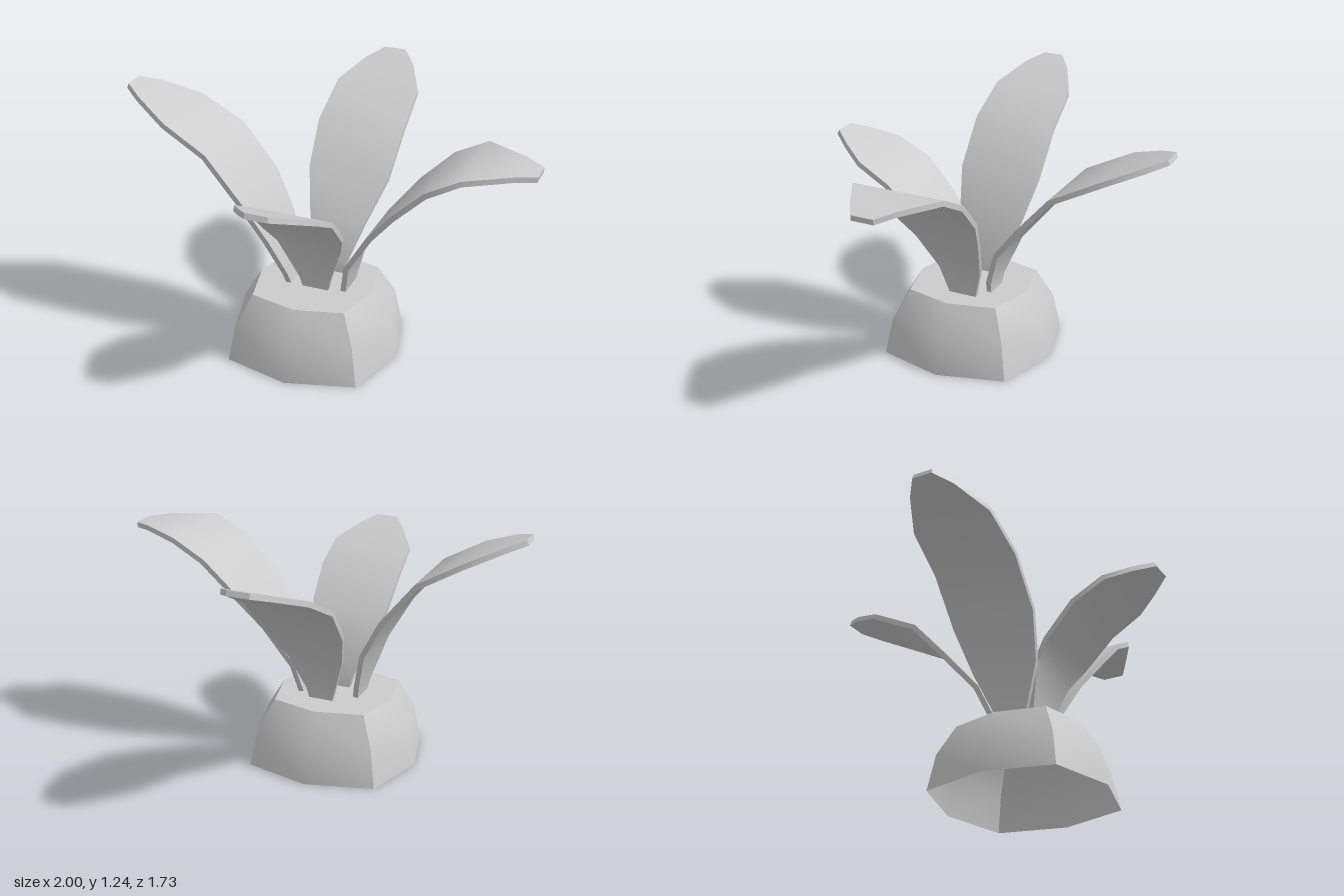
import * as THREE from 'three';
import { toCreasedNormals } from 'three/addons/utils/BufferGeometryUtils.js';

const material = new THREE.MeshStandardMaterial({ color: 0xcccccc, side: THREE.DoubleSide });

// Joins equal rings of points into a surface, with optional end caps.
function loft(rings, capStart, capEnd) {
  const n = rings[0].length, index = [];
  for (let i = 0; i < rings.length - 1; i++) {
    for (let j = 0; j < n; j++) {
      const k = (j + 1) % n;
      const a = i * n + j, b = i * n + k, c = a + n, d = b + n;
      index.push(a, c, d, a, d, b);
    }
  }
  const last = (rings.length - 1) * n;
  for (let j = 1; j < n - 1; j++) {
    if (capStart) index.push(0, j, j + 1);
    if (capEnd) index.push(last, last + j + 1, last + j);
  }
  const geometry = new THREE.BufferGeometry();
  geometry.setAttribute('position', new THREE.Float32BufferAttribute(rings.flat(2), 3));
  geometry.setIndex(index);
  return toCreasedNormals(geometry, THREE.MathUtils.degToRad(38));
}

// Thin blade along a bending path; each station is [outward, height, half width].
function leafGeometry(stations, thickness = 0.026) {
  const rings = stations.map(([x, y, w], i) => {
    const p = stations[Math.max(i - 1, 0)];
    const q = stations[Math.min(i + 1, stations.length - 1)];
    const normal = new THREE.Vector2(p[1] - q[1], q[0] - p[0]).setLength(thickness / 2);
    const { x: nx, y: ny } = normal;
    return [
      [x + nx, y + ny, w], [x + nx, y + ny, -w],
      [x - nx, y - ny, -w], [x - nx, y - ny, w],
    ];
  });
  return loft(rings, true, true);
}

export function createModel() {
  const model = new THREE.Group();
  model.name = 'leafyPlant';

  // Hollow base: bulging square rings, [height, radius at side, offset of corner]
  const levels = [[0, 0.415, 0.327], [0.18, 0.382, 0.298], [0.33, 0.29, 0.233]];
  const rings = levels.map(([y, r, c]) => [
    [r, y, 0], [c, y, -c], [0, y, -r], [-c, y, -c],
    [-r, y, 0], [-c, y, c], [0, y, r], [c, y, c],
  ].reverse());
  const base = new THREE.Mesh(loft(rings, false, true), material);
  base.name = 'base';
  base.position.set(-0.06, 0, 0.152);
  model.add(base);

  // Four leaves, each turned outward from the middle
  const leaves = [
    { name: 'leftLeaf', turn: 0, x: 0, z: 0.13, stations: [
      [0.095, 0.33, 0.07], [0.125, 0.475, 0.11], [0.25, 0.68, 0.165], [0.385, 0.845, 0.22],
      [0.54, 0.995, 0.235], [0.70, 1.08, 0.228], [0.90, 1.085, 0.115], [0.995, 1.075, 0.055]] },
    { name: 'backLeaf', turn: Math.PI / 2, x: -0.03, z: 0, stations: [
      [-0.025, 0.33, 0.06], [-0.02, 0.385, 0.075], [0.05, 0.57, 0.14], [0.20, 0.755, 0.205],
      [0.36, 0.935, 0.22], [0.60, 1.06, 0.212], [0.765, 1.125, 0.13], [0.86, 1.16, 0.055]] },
    { name: 'rightLeaf', turn: Math.PI, x: 0, z: 0.155, stations: [
      [0.18, 0.33, 0.06], [0.19, 0.385, 0.08], [0.25, 0.59, 0.165], [0.36, 0.79, 0.21],
      [0.53, 1.0, 0.212], [0.74, 1.12, 0.2], [0.91, 1.195, 0.115], [0.995, 1.225, 0.05]] },
    { name: 'frontLeaf', turn: -Math.PI / 2, x: -0.04, z: 0, stations: [
      [0.205, 0.33, 0.065], [0.215, 0.39, 0.08], [0.28, 0.6, 0.16], [0.36, 0.7, 0.197],
      [0.505, 0.85, 0.207], [0.66, 0.935, 0.2], [0.775, 0.985, 0.125], [0.86, 1.02, 0.055]] },
  ];
  for (const { name, turn, x, z, stations } of leaves) {
    const leaf = new THREE.Mesh(leafGeometry(stations), material);
    leaf.name = name;
    leaf.rotation.y = turn;
    leaf.position.set(x, 0, z);
    model.add(leaf);
  }
  return model;
}
